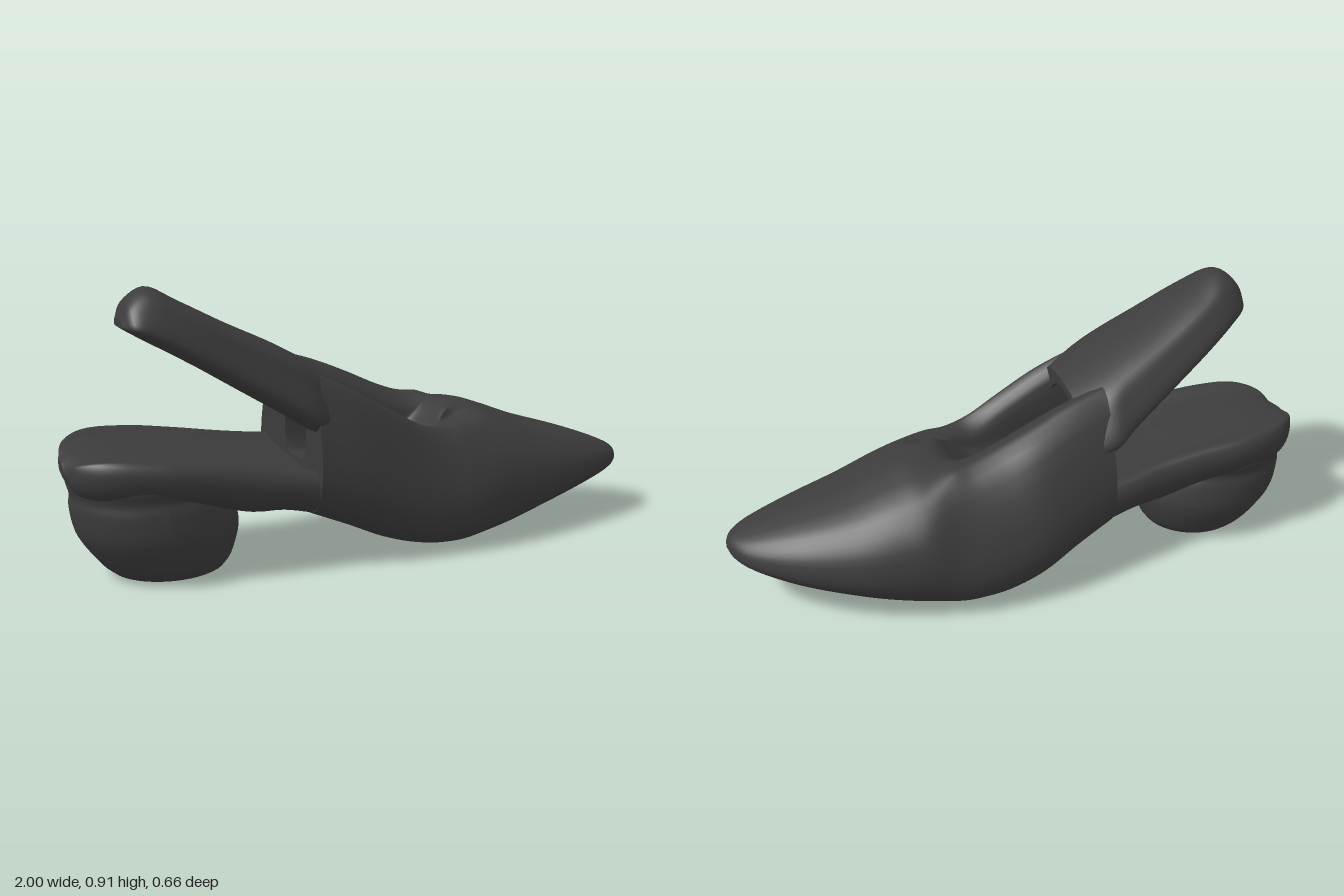
import * as THREE from 'three';

const RING = 56, STEPS = 5;
const mix = (a, b, t) => a + (b - a) * t;

// Smooth skin over closed cross-sections; each is { x, pts: [[z, y], ...] } in order of rising x.
function loft(sections) {
  const rings = sections.map(({ x, pts }) =>
    new THREE.CatmullRomCurve3(pts.map(([z, y]) => new THREE.Vector3(x, y, z)), true).getPoints(RING).slice(0, RING));
  const rows = (sections.length - 1) * STEPS;
  const columns = rings[0].map((_, j) => new THREE.CatmullRomCurve3(rings.map(r => r[j])).getPoints(rows));
  const pos = [], idx = [];
  for (let i = 0; i <= rows; i++) columns.forEach(c => pos.push(c[i].x, c[i].y, c[i].z));
  for (let i = 0; i < rows; i++) {
    for (let j = 0; j < RING; j++) {
      const k = (j + 1) % RING, a = i * RING + j, b = i * RING + k;
      idx.push(a, a + RING, b, b, a + RING, b + RING);
    }
  }
  // End caps
  for (const [row, dir] of [[0, -1], [rows, 1]]) {
    const flat = columns.map(c => new THREE.Vector2(c[row].z, c[row].y));
    const base = pos.length / 3;
    columns.forEach(c => pos.push(c[row].x, c[row].y, c[row].z));
    for (const [a, b, c] of THREE.ShapeUtils.triangulateShape(flat, [])) {
      const area = flat[b].clone().sub(flat[a]).cross(flat[c].clone().sub(flat[a]));
      // z cross y points to -x
      if (area * dir < 0) idx.push(base + a, base + b, base + c);
      else idx.push(base + a, base + c, base + b);
    }
  }
  const g = new THREE.BufferGeometry();
  g.setAttribute('position', new THREE.Float32BufferAttribute(pos, 3));
  g.setIndex(idx);
  g.computeVertexNormals();
  return g;
}

// Open (U-shaped) section of the upper; the left rim (yL) sits lower than the right rim (yR)
function openSection([x, yb, yR, yL, zR, zL, rR, rL, iR, iL, yf]) {
  const c = (zR + zL) / 2, w = (zL - zR) / 2, m = (iR + iL) / 2;
  const side = (s, yt, z, r, i, bulge) => {
    const h = yt - yb, drop = Math.min(0.05, Math.max(0, yt - yf) * 0.5);
    return [
      [c + s * 0.78 * w, yb + 0.04 * h], [z, yb + 0.25 * h], [mix(z, r, bulge), yb + 0.65 * h],
      [r, yt - 0.005], [i, yt - drop], [mix(i, m, 0.2), yf + drop * 0.3],
    ];
  };
  return { x, pts: [[c, yb], ...side(1, yL, zL, rL, iL, 0.14), [m, yf], ...side(-1, yR, zR, rR, iR, 0.27).reverse()] };
}

// Closed, domed section of the toe
function domeSection([x, yb, yt, zR, zL]) {
  const c = (zR + zL) / 2, w = (zL - zR) / 2, h = yt - yb;
  const half = [[0.76, 0.04], [1, 0.3], [0.93, 0.64], [0.66, 0.88], [0.43, 0.96], [0.2, 0.99]];
  const side = s => half.map(([a, b]) => [c + s * a * w, yb + b * h]);
  return { x, pts: [[c, yb], ...side(1), [c, yt], ...side(-1).reverse()] };
}

// Arched section of the strap: outer edges hang lower than the middle
function strapSection([x, yb, yc, yt, lowR, topR, topL, lowL]) {
  const c = (topR + topL) / 2, h = yt - yb;
  const side = (low, top) => [
    [mix(c, low, 0.5), mix(yc, yb, 0.3)], [mix(c, low, 0.75), yb + 0.02 * h],
    [low, yb + 0.2 * h], [mix(low, top, 0.45), yb + 0.62 * h], [top, yt - 0.12 * h],
  ];
  return { x, pts: [[c, yc], ...side(lowL, topL), [c, yt], ...side(lowR, topR).reverse()] };
}

// Flat section of the footbed with a dished top that tips down to the left
function footbedSection([x, yb, yt, zR, zL]) {
  const c = (zR + zL) / 2, w = (zL - zR) / 2, h = yt - yb;
  const half = [[0.7, 0.05], [0.95, 0.35], [1, 0.75], [0.9, 1], [0.6, 0.92]];
  const side = s => half.map(([a, b]) => [c + s * a * w, yb + b * h - (s + 1) * 0.011 * b]);
  return { x, pts: [[c, yb], ...side(1), [c, yb + 0.85 * h], ...side(-1).reverse()] };
}

export function createModel() {
  const group = new THREE.Group();
  const leather = new THREE.MeshStandardMaterial({ color: 0x3c3c3c });
  leather.name = 'charcoal leather';
  const add = (name, geometry) => {
    const mesh = new THREE.Mesh(geometry, leather);
    mesh.name = name;
    group.add(mesh);
  };

  // Upper: open around the foot, closed over the toes
  add('upper', loft([
    ...[
      [-0.26, 0.17, 0.655, 0.64, -0.25, 0.305, -0.1, 0.235, -0.02, 0.18, 0.33],
      [-0.13, 0.115, 0.615, 0.575, -0.285, 0.32, -0.12, 0.25, -0.02, 0.185, 0.31],
      [0, 0.055, 0.56, 0.5, -0.32, 0.322, -0.14, 0.25, -0.025, 0.185, 0.3],
      [0.12, 0.018, 0.505, 0.435, -0.33, 0.322, -0.14, 0.24, -0.025, 0.18, 0.32],
      [0.21, 0.008, 0.472, 0.412, -0.33, 0.32, -0.15, 0.23, -0.03, 0.16, 0.39],
      [0.28, 0.009, 0.46, 0.415, -0.328, 0.318, -0.16, 0.22, -0.06, 0.12, 0.445],
    ].map(openSection),
    ...[
      [0.38, 0.022, 0.45, -0.32, 0.31],
      [0.47, 0.04, 0.422, -0.305, 0.295],
      [0.6, 0.072, 0.372, -0.27, 0.265],
      [0.8, 0.12, 0.31, -0.18, 0.205],
      [0.94, 0.16, 0.258, -0.075, 0.145],
      [0.985, 0.18, 0.234, -0.01, 0.1],
      [1, 0.198, 0.214, 0.035, 0.06],
    ].map(domeSection),
  ]));

  // Back strap rising behind the ankle, its ends buried in the side walls
  add('heelStrap', loft([
    [-0.835, 0.8, 0.8, 0.825, 0.1, 0.11, 0.19, 0.21],
    [-0.81, 0.785, 0.785, 0.875, 0.03, 0.08, 0.2, 0.255],
    [-0.75, 0.75, 0.75, 0.912, -0.02, 0.06, 0.2, 0.27],
    [-0.65, 0.69, 0.7, 0.865, -0.07, 0.01, 0.225, 0.28],
    [-0.5, 0.595, 0.63, 0.787, -0.125, -0.04, 0.24, 0.287],
    [-0.35, 0.5, 0.595, 0.715, -0.18, -0.08, 0.245, 0.3],
    [-0.27, 0.45, 0.592, 0.672, -0.215, -0.1, 0.24, 0.303],
    [-0.17, 0.42, 0.59, 0.615, -0.2, -0.085, 0.21, 0.27],
  ].map(strapSection)));

  // Footbed over the heel
  add('footbed', loft([
    [-1, 0.345, 0.385, -0.015, 0.09],
    [-0.975, 0.3, 0.415, -0.1, 0.16],
    [-0.9, 0.27, 0.432, -0.175, 0.225],
    [-0.75, 0.26, 0.422, -0.215, 0.265],
    [-0.6, 0.235, 0.402, -0.21, 0.275],
    [-0.45, 0.195, 0.376, -0.21, 0.28],
    [-0.35, 0.19, 0.358, -0.225, 0.285],
    [-0.2, 0.155, 0.335, -0.25, 0.295],
  ].map(footbedSection)));

  // Block heel: a rounded lump leaning back as it rises
  const profile = new THREE.SplineCurve([
    [0, 0], [0.15, 0.002], [0.19, 0.02], [0.225, 0.07], [0.257, 0.15],
    [0.255, 0.23], [0.243, 0.275], [0.25, 0.32], [0.2, 0.35], [0, 0.36],
  ].map(p => new THREE.Vector2(...p))).getPoints(40);
  profile.forEach(p => { p.x = Math.max(p.x, 0); p.y = Math.max(p.y, 0); });
  const heel = new THREE.LatheGeometry(profile, 40);
  const p = heel.attributes.position;
  for (let i = 0; i < p.count; i++) {
    const y = p.getY(i);
    p.setXYZ(i, p.getX(i) - 0.675 - 0.22 * Math.min(y, 0.28), y, p.getZ(i) * 0.9 + 0.025);
  }
  heel.computeVertexNormals();
  add('heel', heel);

  return group;
}
